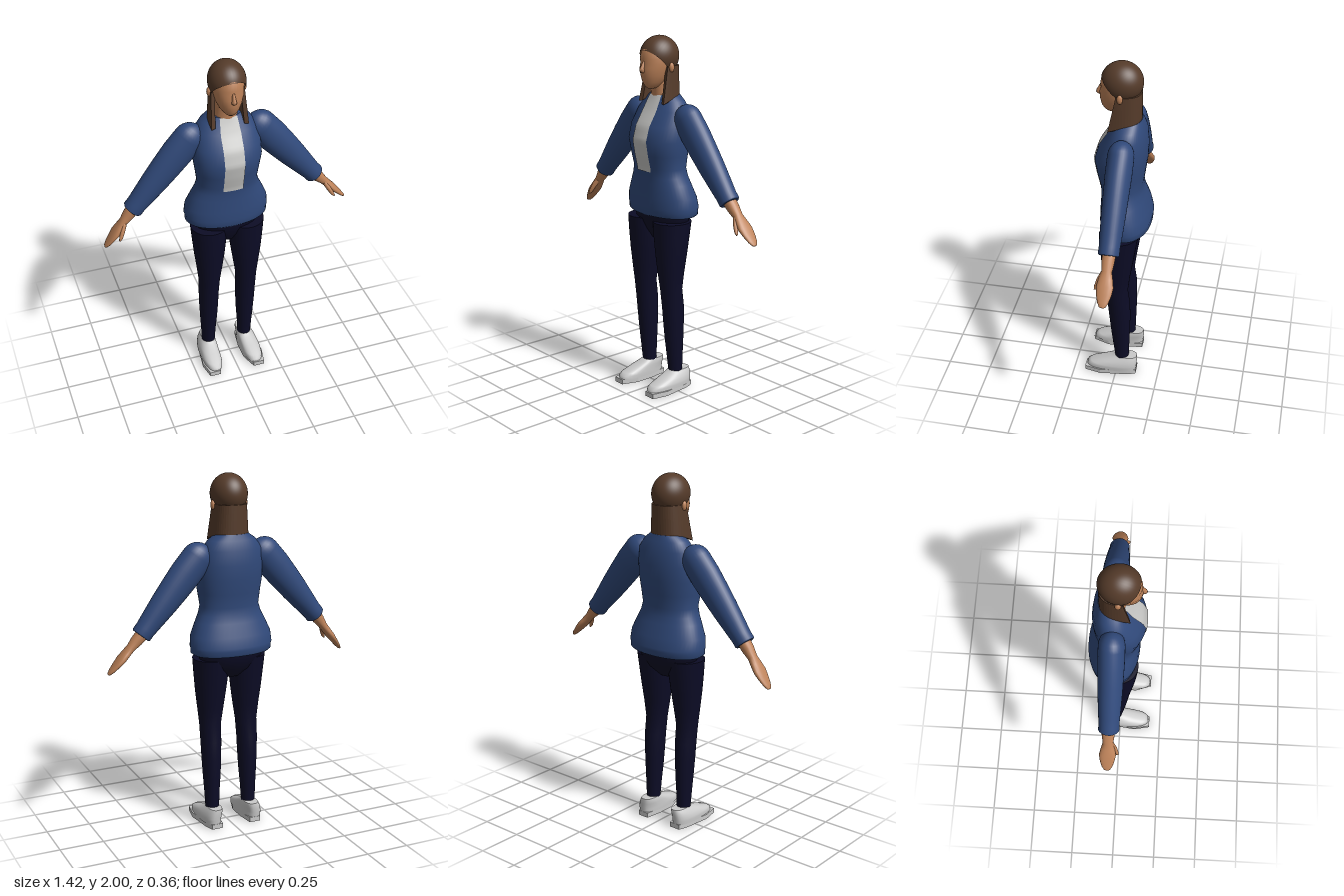
import * as THREE from 'three';

const mat = (name, color, side = THREE.FrontSide) => {
  const m = new THREE.MeshStandardMaterial({ color, side });
  m.name = name;
  return m;
};

// Closed loft: rows are [y, halfWidth, zFront, zBack, centreX = 0]; p squares off the oval
function loft(rows, p = 2, n = 32) {
  const sorted = [...rows].sort((a, b) => a[0] - b[0]);
  const pos = [], idx = [];
  const ring = ([y, hw, zf, zb, cx = 0]) => {
    for (let j = 0; j < n; j++) {
      const a = (j / n) * Math.PI * 2, s = Math.sin(a), c = Math.cos(a);
      pos.push(cx + hw * Math.sign(s) * Math.abs(s) ** (2 / p), y,
        (zf + zb) / 2 + ((zf - zb) / 2) * Math.sign(c) * Math.abs(c) ** (2 / p));
    }
  };
  sorted.forEach(ring);
  for (let i = 0; i < sorted.length - 1; i++) for (let j = 0; j < n; j++) {
    const a = i * n + j, b = i * n + (j + 1) % n;
    idx.push(a, b, b + n, a, b + n, a + n);
  }
  // end caps with their own vertices, so the rims stay sharp
  for (const top of [false, true]) {
    const r = top ? sorted[sorted.length - 1] : sorted[0], base = pos.length / 3;
    ring(r);
    pos.push(r[4] || 0, r[0], (r[2] + r[3]) / 2);
    for (let j = 0; j < n; j++) {
      const a = base + j, b = base + (j + 1) % n;
      idx.push(base + n, ...(top ? [a, b] : [b, a]));
    }
  }
  const g = new THREE.BufferGeometry();
  g.setAttribute('position', new THREE.Float32BufferAttribute(pos, 3));
  g.setIndex(idx);
  g.computeVertexNormals();
  return g;
}

const TORSO_P = 2.2;
const TORSO = [
  [1.022, 0.222, 0.095, -0.168], [1.032, 0.233, 0.103, -0.177], [1.055, 0.233, 0.103, -0.177],
  [1.07, 0.237, 0.106, -0.18], [1.127, 0.232, 0.104, -0.166], [1.2, 0.2, 0.1, -0.142],
  [1.24, 0.18, 0.1, -0.131], [1.285, 0.167, 0.103, -0.126], [1.36, 0.177, 0.121, -0.136],
  [1.44, 0.189, 0.135, -0.147], [1.52, 0.186, 0.112, -0.15], [1.6, 0.17, 0.062, -0.142],
  [1.65, 0.135, 0.036, -0.126], [1.683, 0.088, 0.022, -0.116],
];

// Front surface of the torso at a given x and y
function torsoFront(x, y) {
  let i = 0;
  while (i < TORSO.length - 2 && TORSO[i + 1][0] < y) i++;
  const t = (y - TORSO[i][0]) / (TORSO[i + 1][0] - TORSO[i][0]);
  const [, hw, zf, zb] = TORSO[i].map((v, k) => v + (TORSO[i + 1][k] - v) * t);
  return (zf + zb) / 2 + ((zf - zb) / 2) * (1 - (Math.abs(x) / hw) ** TORSO_P) ** (1 / TORSO_P);
}

export function createModel() {
  const jacket = mat('jacketBlue', 0x30497a);
  const shirt = mat('shirtGrey', 0xc6c6c4, THREE.DoubleSide);
  const trousers = mat('trouserNavy', 0x0c0c26);
  const skin = mat('skin', 0xbd8259);
  const hair = mat('hairBrown', 0x553b2a, THREE.DoubleSide);
  const shoe = mat('shoeGrey', 0xcacaca);

  const model = new THREE.Group();
  model.name = 'standingWoman';
  const body = new THREE.Group();
  body.name = 'body';
  body.position.x = -0.012;
  model.add(body);
  const add = (parent, name, geo, material) => {
    const m = new THREE.Mesh(geo, material);
    m.name = name;
    parent.add(m);
    return m;
  };

  // Jacket and shirt panel
  add(body, 'jacketTorso', loft(TORSO, TORSO_P, 48), jacket);
  const panel = new THREE.PlaneGeometry(0.112, 0.413, 8, 24);
  const pp = panel.attributes.position;
  for (let i = 0; i < pp.count; i++) {
    const y = pp.getY(i) + 1.4765;
    const x = pp.getX(i) * (y > 1.6 ? 1 - (y - 1.6) * 1.8 : 1);
    pp.setXYZ(i, x, y, torsoFront(x, y) + 0.005);
  }
  panel.computeVertexNormals();
  add(body, 'shirtPanel', panel, shirt);

  // Hips
  add(body, 'hips', loft([[0.88, 0.06, 0.03, -0.07], [0.93, 0.14, 0.06, -0.115],
    [0.98, 0.18, 0.08, -0.138], [1.02, 0.19, 0.09, -0.15], [1.05, 0.19, 0.09, -0.15]]), trousers);

  // Head and neck
  add(body, 'neck', loft([[1.64, 0.075, 0.03, -0.09], [1.69, 0.06, 0.03, -0.08], [1.8, 0.055, 0.04, -0.08]]), skin);
  add(body, 'face', loft([[1.72, 0.02, 0.072, 0.02], [1.732, 0.034, 0.086, -0.01], [1.755, 0.052, 0.1, -0.04],
    [1.79, 0.069, 0.108, -0.07], [1.83, 0.079, 0.111, -0.08], [1.855, 0.082, 0.103, -0.085],
    [1.88, 0.084, 0.106, -0.09], [1.93, 0.078, 0.097, -0.085], [1.97, 0.05, 0.06, -0.06]]), skin);
  add(body, 'nose', loft([[1.805, 0.008, 0.11, 0.09], [1.817, 0.015, 0.13, 0.09],
    [1.83, 0.012, 0.128, 0.09], [1.87, 0.006, 0.106, 0.09]], 2, 12), skin);

  // Hair cap, tilted back off the forehead
  const cap = add(body, 'hairCap', new THREE.SphereGeometry(1, 40, 28, 0, Math.PI * 2, 0, 2.04), hair);
  cap.geometry.rotateX(-Math.PI / 4);
  cap.geometry.scale(0.1, 0.11, 0.112);
  cap.position.set(0, 1.89, -0.008);

  // Long hair: a curtain around the neck, open at the front
  const u = new THREE.Shape();
  u.moveTo(0.096, -0.052);
  u.bezierCurveTo(0.104, 0.05, 0.085, 0.114, 0, 0.114);
  u.bezierCurveTo(-0.085, 0.114, -0.104, 0.05, -0.096, -0.052);
  u.lineTo(-0.074, -0.045);
  u.bezierCurveTo(-0.08, 0.04, -0.06, 0.085, 0, 0.085);
  u.bezierCurveTo(0.06, 0.085, 0.08, 0.04, 0.074, -0.045);
  const curtain = new THREE.ExtrudeGeometry(u, { depth: 0.17, steps: 4, bevelEnabled: false, curveSegments: 14 });
  curtain.rotateX(-Math.PI / 2).translate(0, 1.67, 0);
  const cp = curtain.attributes.position;
  for (let i = 0; i < cp.count; i++) {
    const y = cp.getY(i), z = cp.getZ(i), t = (1.84 - y) / 0.17;
    const front = Math.max(0, z + 0.02) / 0.07;
    cp.setXYZ(i, cp.getX(i) * (0.95 + 0.12 * t), y - 0.03 * front * t, z - 0.04 * front * (1 - t));
  }
  curtain.computeVertexNormals();
  add(body, 'longHair', curtain, hair);

  // Limbs, mirrored; the two hands hang at slightly different angles
  for (const side of [1, -1]) {
    const half = new THREE.Group();
    half.name = side > 0 ? 'leftSide' : 'rightSide';
    half.scale.x = side;
    body.add(half);

    const ear = add(half, 'ear', new THREE.SphereGeometry(1, 14, 10), skin);
    ear.scale.set(0.012, 0.026, 0.016);
    ear.position.set(0.096, 1.835, -0.012);

    // Sleeve with a domed shoulder
    const rows = [[-0.512, 0.05, 0.05, -0.05], [-0.505, 0.056, 0.056, -0.056], [-0.47, 0.056, 0.055, -0.055],
      [-0.4, 0.064, 0.059, -0.059], [-0.3, 0.075, 0.064, -0.064], [-0.2, 0.083, 0.067, -0.067], [-0.1, 0.089, 0.07, -0.07]];
    for (let k = 0; k <= 6; k++) {
      const a = k * 0.25, r = Math.cos(a);
      rows.push([0.086 * Math.sin(a), 0.087 * r, 0.07 * r, -0.07 * r]);
    }
    const sleeve = add(half, 'sleeve', loft(rows), jacket);
    sleeve.position.set(0.2, 1.56, -0.038);
    sleeve.rotation.z = 0.7;

    // Hand and thumb
    const hand = new THREE.Group();
    hand.name = 'hand';
    hand.position.set(0.525, 1.174, -0.04);
    hand.rotation.z = side > 0 ? 0.77 : 0.65;
    half.add(hand);
    add(hand, 'palmAndFingers', loft([[0.03, 0.035, 0.037, -0.037], [-0.04, 0.032, 0.034, -0.034],
      [-0.09, 0.023, 0.028, -0.028], [-0.13, 0.021, 0.038, -0.038], [-0.17, 0.02, 0.045, -0.046],
      [-0.21, 0.015, 0.039, -0.041], [-0.25, 0.011, 0.028, -0.03], [-0.272, 0.007, 0.016, -0.018],
      [-0.277, 0.003, 0.008, -0.009]], 2.2, 20), skin);
    add(hand, 'thumb', loft([[-0.09, 0.012, 0.03, 0.005, -0.004], [-0.13, 0.013, 0.049, 0.02, -0.012],
      [-0.165, 0.011, 0.058, 0.036, -0.02], [-0.185, 0.005, 0.058, 0.046, -0.023]], 2, 12), skin);

    // Trouser leg
    add(half, 'trouserLeg', loft([[0.105, 0.039, 0.01, -0.07, 0.113], [0.2, 0.043, 0.022, -0.073, 0.113],
      [0.3, 0.05, 0.034, -0.076, 0.112], [0.4, 0.055, 0.044, -0.078, 0.112], [0.5, 0.058, 0.053, -0.076, 0.112],
      [0.6, 0.061, 0.064, -0.062, 0.111], [0.7, 0.074, 0.077, -0.074, 0.109], [0.8, 0.087, 0.088, -0.09, 0.108],
      [0.9, 0.097, 0.096, -0.105, 0.107], [0.99, 0.104, 0.101, -0.118, 0.107]]), trousers);

    // Shoe upper
    add(half, 'shoeUpper', loft([[0.025, 0.055, 0.178, -0.117, 0.125], [0.045, 0.056, 0.175, -0.119, 0.125],
      [0.058, 0.055, 0.155, -0.12, 0.125], [0.08, 0.051, 0.09, -0.121, 0.121],
      [0.1, 0.044, 0.035, -0.121, 0.115], [0.112, 0.038, 0.015, -0.119, 0.113]], 2.6), shoe);

    // Sole
    const s = new THREE.Shape();
    s.moveTo(0.085, 0.118);
    s.lineTo(0.15, 0.118);
    s.quadraticCurveTo(0.17, 0.08, 0.175, 0);
    s.lineTo(0.187, -0.09);
    s.lineTo(0.168, -0.184);
    s.lineTo(0.105, -0.184);
    s.lineTo(0.072, -0.09);
    s.lineTo(0.072, 0.02);
    s.closePath();
    const sole = new THREE.ExtrudeGeometry(s, { depth: 0.028, bevelEnabled: false, curveSegments: 6 });
    add(half, 'sole', sole.rotateX(-Math.PI / 2), shoe);
  }
  return model;
}
